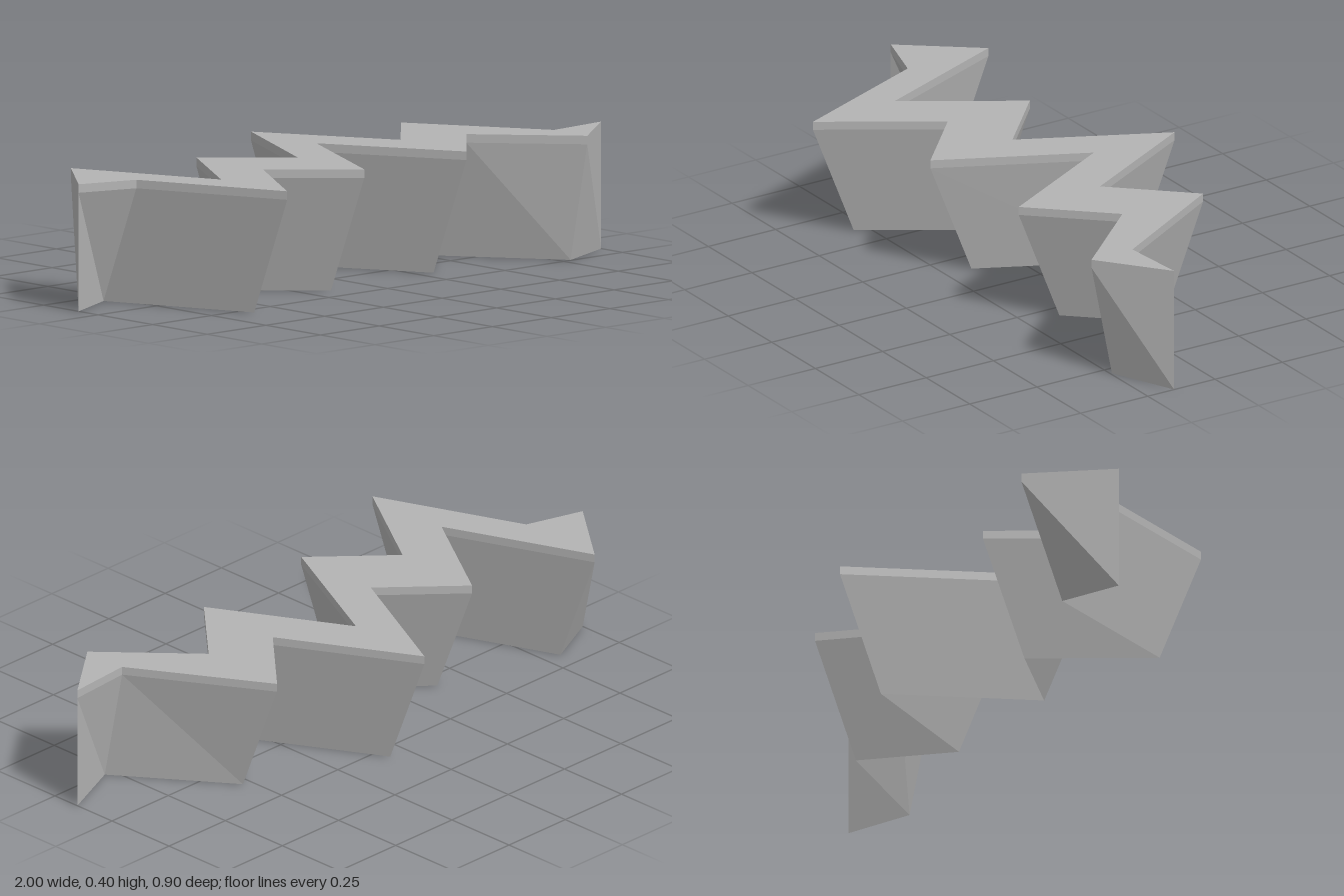
import * as THREE from 'three';

// Stations along the zigzag: x, back z, front z of the top band
const STATIONS = [
  [-1, -0.09, -0.09], [-0.81, -0.33, -0.03], [-0.613, 0.147, 0.45],
  [-0.387, -0.21, 0.095], [-0.155, 0.005, 0.31], [0.07, -0.452, -0.152],
  [0.307, -0.021, 0.281], [0.53, -0.26, 0.04], [0.785, 0.168, 0.32], [1, 0.152, 0.152],
];
const TOP = 0.402, RIM = 0.375;

// Five-cornered section: flat top, short upright rims, sides meeting in a keel
function section([x, back, front]) {
  return [[back, TOP], [front, TOP], [front, RIM], [(back + front) / 2, 0], [back, RIM]]
    .map(([z, y]) => new THREE.Vector3(x, y, z));
}

// Faceted strip joining one edge of every section to the next
function strip(rings, edge) {
  const points = [];
  const addTriangle = (a, b, c) => {
    if (new THREE.Triangle(a, b, c).getArea() > 1e-6) points.push(a, b, c);
  };
  const next = (edge + 1) % 5;
  for (let i = 0; i < rings.length - 1; i++) {
    const p = rings[i], q = rings[i + 1];
    addTriangle(p[edge], p[next], q[next]);
    addTriangle(p[edge], q[next], q[edge]);
  }
  const geometry = new THREE.BufferGeometry().setFromPoints(points);
  geometry.computeVertexNormals();
  return geometry;
}

export function createModel() {
  const model = new THREE.Group();
  model.name = 'zigzagWedge';
  const grey = new THREE.MeshStandardMaterial({ color: 0xb3b3b3 });
  grey.name = 'plain grey';

  const rings = STATIONS.map(section);
  ['topFace', 'frontRim', 'frontSlope', 'backSlope', 'backRim'].forEach((name, edge) => {
    const mesh = new THREE.Mesh(strip(rings, edge), grey);
    mesh.name = name;
    model.add(mesh);
  });
  return model;
}
